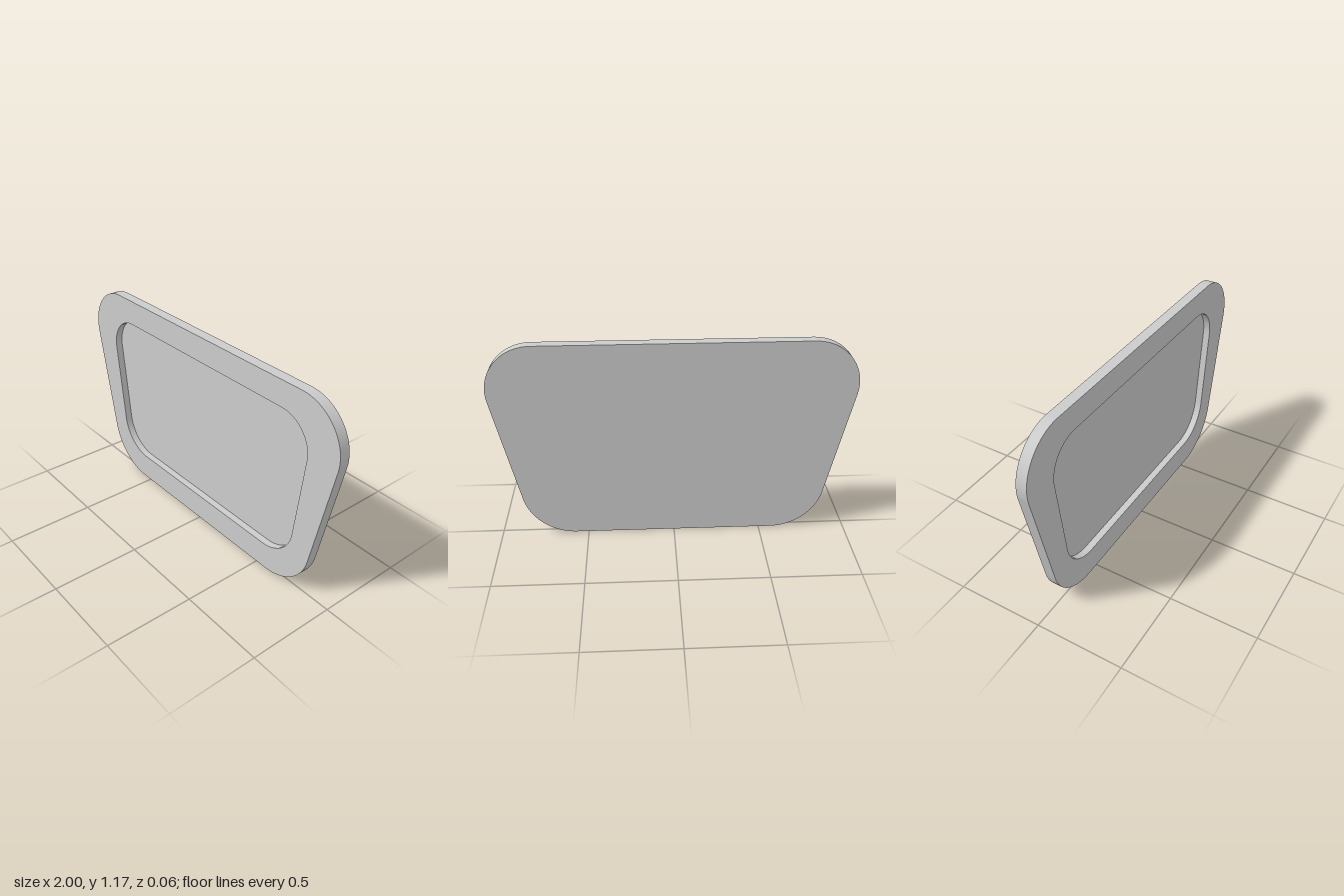
import * as THREE from 'three';

const BACK = -0.03, FRONT = 0.03, FLOOR = -0.01;
const material = new THREE.MeshStandardMaterial({ color: 0xcccccc });

// Counter-clockwise rounded trapezoid: tangent arcs round mirrored corner circles
function outline(bottom, top, steps = 20) {
  const dx = top.x - bottom.x, dy = top.y - bottom.y;
  const side = Math.atan2(dy, dx) - Math.acos((bottom.r - top.r) / Math.hypot(dx, dy));
  const right = [];
  for (const [c, from, to] of [[bottom, -Math.PI / 2, side], [top, side, Math.PI / 2]]) {
    for (let i = 0; i <= steps; i++) {
      const a = from + (to - from) * i / steps;
      right.push(new THREE.Vector2(c.x + c.r * Math.cos(a), c.y + c.r * Math.sin(a)));
    }
  }
  const left = right.map(p => new THREE.Vector2(-p.x, p.y)).reverse();
  return [...right, ...left];
}

// Smooth closed band following an outline between two depths
function wall(points, z0, z1) {
  const n = points.length, positions = [], index = [];
  points.forEach((p, i) => {
    positions.push(p.x, p.y, z0, p.x, p.y, z1);
    const a = 2 * i, b = 2 * ((i + 1) % n);
    index.push(a, b, b + 1, a, b + 1, a + 1);
  });
  const geometry = new THREE.BufferGeometry();
  geometry.setAttribute('position', new THREE.Float32BufferAttribute(positions, 3));
  geometry.setIndex(index);
  geometry.computeVertexNormals();
  return geometry;
}

export function createModel() {
  const group = new THREE.Group();
  group.name = 'recessedPanel';
  const add = (name, geometry) => {
    const mesh = new THREE.Mesh(geometry, material);
    mesh.name = name;
    group.add(mesh);
  };

  const outer = outline({ x: 0.57, y: 0.3, r: 0.3 }, { x: 0.74, y: 0.91, r: 0.26 });
  const inner = outline({ x: 0.535, y: 0.367, r: 0.212 }, { x: 0.62, y: 0.842, r: 0.185 });

  // Front rim around the recess
  const rim = new THREE.Shape(outer);
  rim.holes.push(new THREE.Path(inner));
  add('frontRim', new THREE.ShapeGeometry(rim).translate(0, 0, FRONT));

  // Sunken floor and its surrounding wall
  add('recessFloor', new THREE.ShapeGeometry(new THREE.Shape(inner)).translate(0, 0, FLOOR));
  add('recessWall', wall([...inner].reverse(), FLOOR, FRONT));

  // Outer edge and plain back
  add('outerEdge', wall(outer, BACK, FRONT));
  add('backFace', new THREE.ShapeGeometry(new THREE.Shape(outer)).rotateY(Math.PI).translate(0, 0, BACK));

  return group;
}
